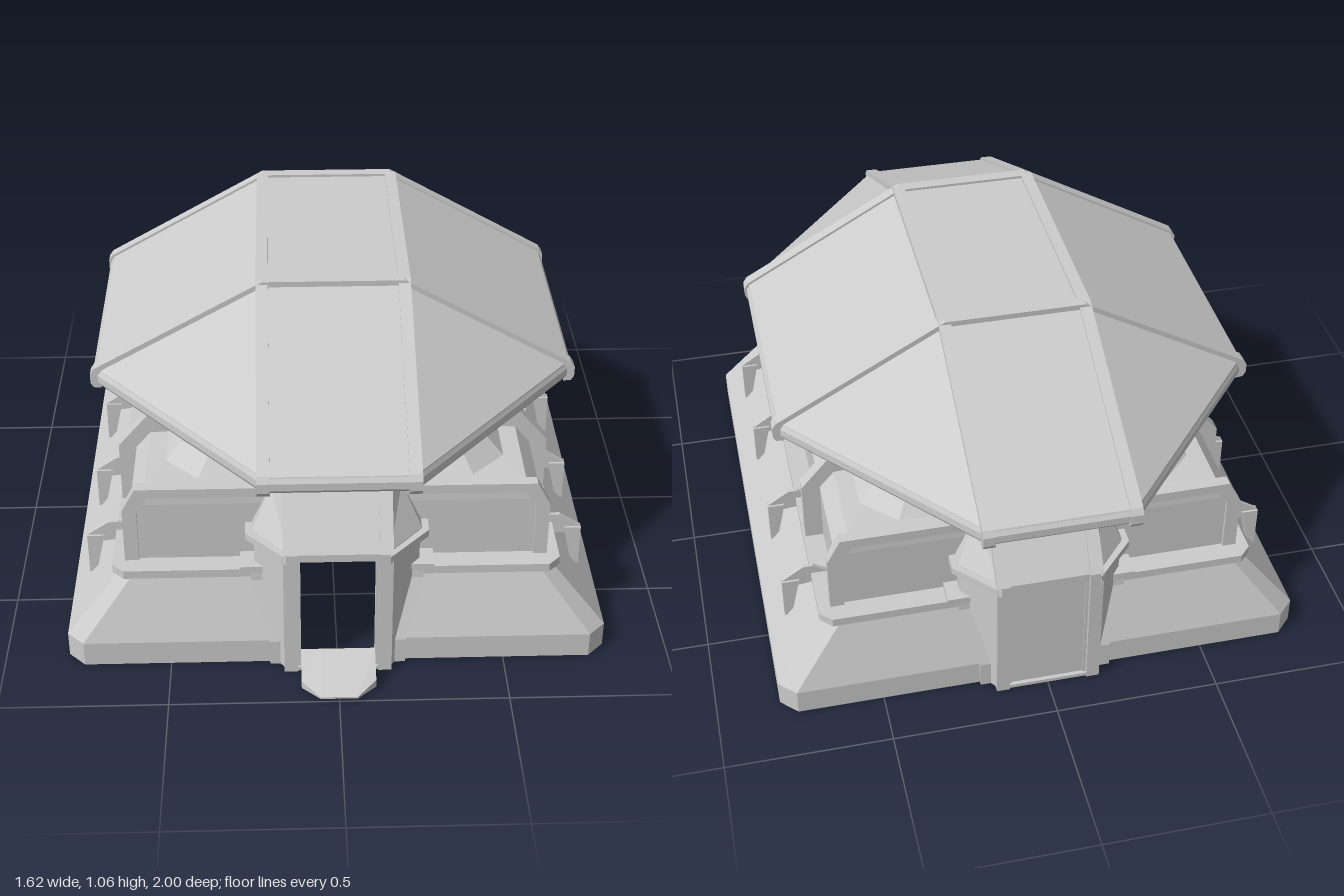
import * as THREE from 'three';

const mat = new THREE.MeshStandardMaterial({ color: 0xcccccc, flatShading: true, side: THREE.DoubleSide });

function mesh(name, geo) {
  const m = new THREE.Mesh(geo, mat);
  m.name = name;
  return m;
}

// Skin between successive rows of [x, y, z] points, lowest row first.
function loft(name, rows) {
  const v = [];
  for (let r = 0; r < rows.length - 1; r++) {
    const a = rows[r], b = rows[r + 1];
    for (let i = 0; i < a.length - 1; i++) {
      v.push(...a[i], ...a[i + 1], ...b[i + 1], ...a[i], ...b[i + 1], ...b[i]);
    }
  }
  const g = new THREE.BufferGeometry();
  g.setAttribute('position', new THREE.Float32BufferAttribute(v, 3));
  g.computeVertexNormals();
  return mesh(name, g);
}

// Left half of a rectangle with cut corners, from front to back.
function half(y, x0, x, z, c) {
  return [[x0, z], [x - c, z], [x, z - c], [x, c - z], [x - c, -z], [x0, -z]].map(([px, pz]) => [px, y, pz]);
}

// Profile in x/y, extruded along z and centred on z.
function slabZ(name, pts, width, z) {
  const g = new THREE.ExtrudeGeometry(new THREE.Shape(pts.map(p => new THREE.Vector2(...p))), { depth: width, bevelEnabled: false });
  g.translate(0, 0, z - width / 2);
  return mesh(name, g);
}

// Profile in z/y, extruded along x and centred on x.
function slabX(name, pts, width, x) {
  const m = slabZ(name, pts.map(([z, y]) => [-z, y]), width, 0);
  m.geometry.rotateY(Math.PI / 2).translate(x, 0, 0);
  return m;
}

function box(name, x0, x1, y0, y1, z0, z1) {
  const g = new THREE.BoxGeometry(x1 - x0, y1 - y0, z1 - z0);
  g.translate((x0 + x1) / 2, (y0 + y1) / 2, (z0 + z1) / 2);
  return mesh(name, g);
}

// Adds a left part and its mirrored right twin.
function addPair(group, part) {
  const twin = part.clone();
  twin.scale.x = -1;
  group.add(part, twin);
}

function createRoof() {
  const roof = new THREE.Group();
  roof.name = 'roof';
  const eave = (y, o) => {
    const q = [[0.21, 0.97 + o], [0.72 + o, 0.37], [0.72 + o, -0.37], [0.21, -0.97 - o]];
    const ring = [...q, ...q.map(([x, z]) => [-x, -z])];
    return [...ring, ring[0]].map(([x, z]) => [x, y, z]);
  };
  const crown = eave(0, 0).map(([x, , z]) => [Math.sign(x) * 0.21, 1.048, Math.sign(z) * 0.37]);
  roof.add(loft('roofShell', [
    eave(0.75, -0.035), eave(0.712, -0.02), eave(0.71, -0.005), eave(0.722, 0.005), eave(0.745, 0.005),
    eave(0.757, -0.003), eave(0.762, -0.005), crown, crown.map(() => [0, 1.048, 0])]));

  // Raised ribs over the folds of the roof
  const ribProfile = (e) => {
    const right = [[e - 0.02, 0.703], [e + 0.003, 0.705], [e + 0.012, 0.72], [e + 0.012, 0.75], [e, 0.768]];
    const left = right.map(([a, y]) => [-a, y]).reverse();
    const t = e === 0.72 ? 0.21 : 0.37;
    return [...right, [t, 1.056], [-t, 1.056], ...left, [0.03 - e, 0.745], [-t, 1.03], [t, 1.03], [e - 0.03, 0.745]];
  };
  for (const s of [-1, 1]) {
    roof.add(slabZ('crossRib', ribProfile(0.72), 0.038, s * 0.37));
    roof.add(slabX('longRib', ribProfile(0.97), 0.036, s * 0.21));
  }
  roof.position.z = -0.01;
  return roof;
}

function createPorch(open) {
  const porch = new THREE.Group();
  porch.name = open ? 'frontPorch' : 'backPorch';

  // Pillars that lean back up to the roof
  addPair(porch, slabX('porchPillar', [
    [0.875, 0], [0.875, 0.43], [0.745, 0.605], [0.745, 0.76],
    [0.69, 0.76], [0.69, 0.59], [0.82, 0.41], [0.82, 0]], 0.04, 0.14));

  // Angled side walls with a sloping shoulder
  const wing = (y, zf, x, z) => [[0.15, y, zf], [x, y, z], [x, y, 0.6]];
  addPair(porch, loft('porchSide', [
    wing(0, 0.865, 0.245, 0.745), wing(0.41, 0.865, 0.245, 0.745), wing(0.43, 0.86, 0.25, 0.745),
    wing(0.56, 0.77, 0.19, 0.70), wing(0.61, 0.735, 0.165, 0.70), wing(0.76, 0.735, 0.165, 0.70)]));
  addPair(porch, loft('porchLedge', [
    wing(0.405, 0.865, 0.24, 0.745), wing(0.405, 0.885, 0.27, 0.755),
    wing(0.428, 0.885, 0.27, 0.755), wing(0.428, 0.855, 0.23, 0.74)]));

  // Panel above the doorway
  const row = (y, z) => [[-0.12, y, z], [0.12, y, z]];
  porch.add(loft('porchPanel', [row(0.40, 0.83), row(0.40, 0.865), row(0.425, 0.865), row(0.60, 0.735), row(0.76, 0.735)]));
  addPair(porch, box('doorJamb', 0.11, 0.125, 0, 0.41, 0.83, 0.862));
  porch.add(box('doorSill', -0.12, 0.12, 0, 0.012, 0.82, 0.87));

  // Borders of the skirt beside the porch
  const jamb = (y, x, z) => [[x, y, z - 0.07], [x, y, z], [x + 0.038, y, z], [x + 0.038, y, z - 0.07]];
  addPair(porch, loft('skirtBorder', [
    jamb(0, 0.165, 0.838), jamb(0.085, 0.165, 0.838), jamb(0.27, 0.218, 0.775), jamb(0.31, 0.22, 0.772)]));
  addPair(porch, box('skirtBorderCap', 0.22, 0.288, 0.298, 0.32, 0.69, 0.778));

  if (open) {
    const ramp = [
      [[-0.11, 0.01, 0.87], [-0.05, 0.01, 0.87], [0.05, 0.01, 0.87], [0.11, 0.01, 0.87]],
      [[-0.11, 0.01, 0.96], [-0.055, 0.01, 1.01], [0.055, 0.01, 1.01], [0.11, 0.01, 0.96]],
      [[-0.11, 0.035, 0.96], [-0.055, 0.016, 1.01], [0.055, 0.016, 1.01], [0.11, 0.035, 0.96]],
      [[-0.11, 0.082, 0.87], [-0.05, 0.082, 0.87], [0.05, 0.082, 0.87], [0.11, 0.082, 0.87]]];
    porch.add(loft('ramp', ramp));
  } else {
    porch.add(box('backDoor', -0.12, 0.12, 0, 0.41, 0.845, 0.858));
    porch.rotation.y = Math.PI;
  }
  return porch;
}

export function createModel() {
  const model = new THREE.Group();
  model.name = 'bunker';
  const building = new THREE.Group();
  building.name = 'building';
  building.position.z = -0.01;
  model.add(building);

  // Sloped armoured skirt with a rim
  addPair(building, loft('skirt', [
    half(0, 0.2, 0.81, 0.825, 0.05), half(0.08, 0.2, 0.81, 0.825, 0.05), half(0.275, 0.25, 0.645, 0.755, 0.035),
    half(0.275, 0.25, 0.667, 0.765, 0.035), half(0.302, 0.25, 0.667, 0.765, 0.035), half(0.302, 0.2, 0.59, 0.69, 0.02)]));

  // Main walls with bevelled top, rising to the drum
  addPair(building, loft('walls', [
    half(0.29, 0.2, 0.605, 0.70, 0.005), half(0.495, 0.2, 0.605, 0.70, 0.005), half(0.547, 0.2, 0.56, 0.695, 0.005),
    half(0.55, 0.2, 0.505, 0.65, 0.1), half(0.60, 0.17, 0.455, 0.6, 0.08)]));
  addPair(building, loft('drum', [half(0.60, 0, 0.455, 0.6, 0.08), half(0.80, 0, 0.455, 0.6, 0.08)]));

  for (const s of [-1, 1]) {
    // Frames on the end walls
    addPair(building, slabZ('wallFrame', [
      [0.63, 0.29], [0.63, 0.48], [0.59, 0.555], [0.19, 0.555], [0.205, 0.525],
      [0.555, 0.525], [0.588, 0.48], [0.588, 0.29]], 0.035, s * 0.693));
    // Buttresses from skirt to roof
    addPair(building, slabZ('buttress', [
      [0.66, 0.29], [0.66, 0.5], [0.57, 0.605], [0.565, 0.80],
      [0.45, 0.80], [0.45, 0.54], [0.59, 0.48], [0.59, 0.29]], 0.042, s * 0.37));
  }

  // Brackets along the skirt
  for (const z of [-0.55, -0.2, 0.2, 0.55]) {
    addPair(building, slabZ('bracketArm', [
      [0.61, 0.30], [0.66, 0.33], [0.69, 0.33], [0.755, 0.287], [0.755, 0.255], [0.64, 0.27]], 0.012, z));
    addPair(building, slabZ('bracketBlade', [[0.757, 0.285], [0.757, 0.15], [0.735, 0.15], [0.705, 0.285]], 0.026, z));
  }

  building.add(createPorch(true), createPorch(false), createRoof());
  return model;
}
